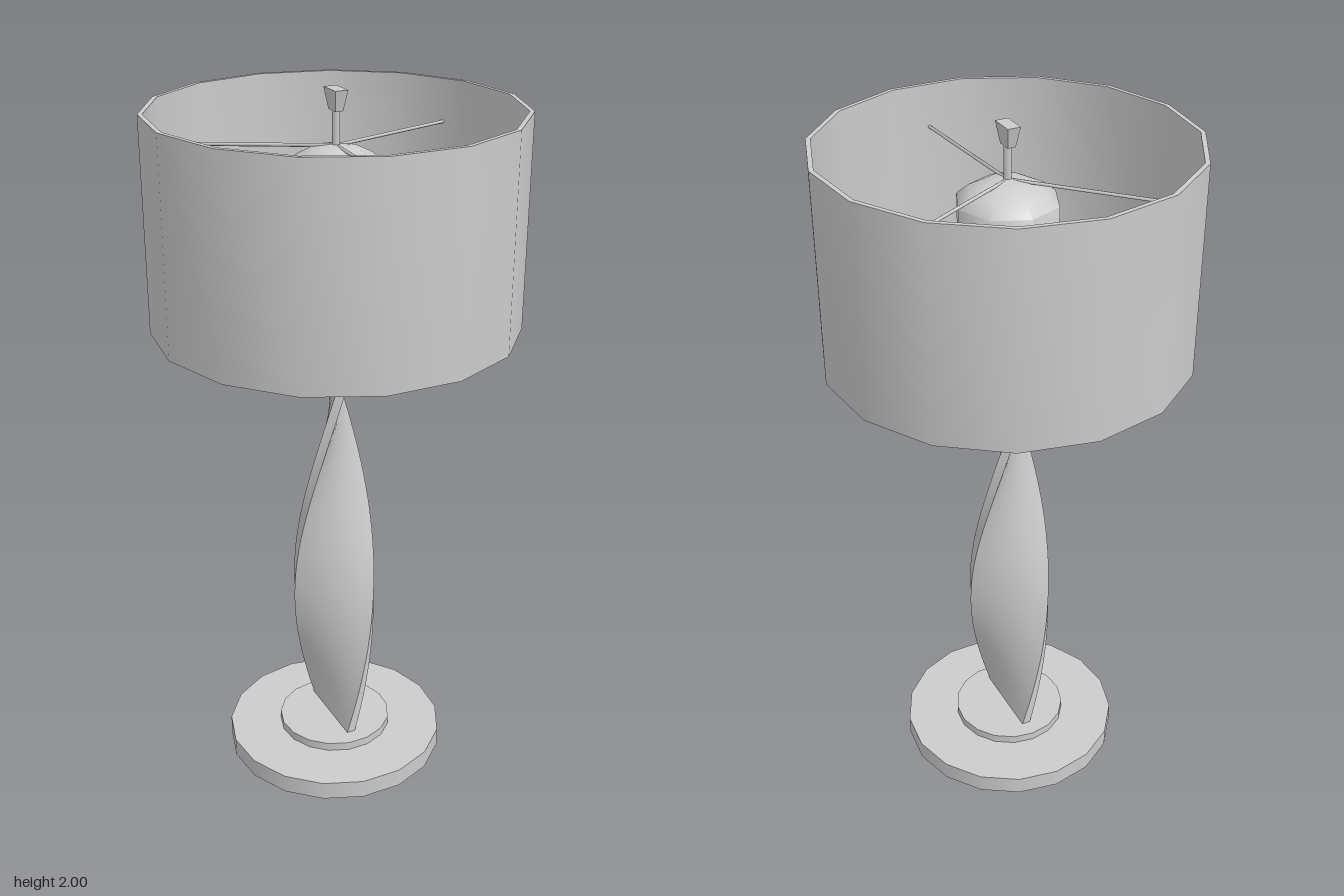
import * as THREE from 'three';
import { toCreasedNormals } from 'three/addons/utils/BufferGeometryUtils.js';

const material = new THREE.MeshStandardMaterial({ color: 0xcccccc });

export function createModel() {
  const lamp = new THREE.Group();
  lamp.name = 'tableLamp';

  const add = (name, geometry, x = 0, y = 0, z = 0) => {
    const mesh = new THREE.Mesh(geometry, material);
    mesh.name = name;
    mesh.position.set(x, y, z);
    lamp.add(mesh);
    return mesh;
  };

  // Faceted drum standing on y0, with one corner facing the back
  const drum = (name, r, y0, y1, sides, x = 0) =>
    add(name, new THREE.CylinderGeometry(r, r, y1 - y0, sides, 1, false, Math.PI), x, (y0 + y1) / 2);

  // Straight round bar between two points
  const bar = (name, a, b, r, sides = 8) => {
    const dir = b.clone().sub(a);
    const mesh = add(name, new THREE.CylinderGeometry(r, r, dir.length(), sides));
    mesh.position.copy(a).add(b).multiplyScalar(0.5);
    mesh.quaternion.setFromUnitVectors(new THREE.Vector3(0, 1, 0), dir.normalize());
  };

  const lathe = (profile, sides, crease) =>
    toCreasedNormals(
      new THREE.LatheGeometry(profile.map(p => new THREE.Vector2(...p)), sides, Math.PI),
      crease
    );

  // Stepped base
  drum('base', 0.322, 0, 0.055, 17, -0.005);
  drum('basePlinth', 0.167, 0.055, 0.08, 17, -0.005);

  // Flat blade making a half turn from bottom to top
  const bottom = 0.08, height = 1.25;
  const blade = new THREE.BoxGeometry(0.026, height, 0.235, 1, 32, 6);
  const pos = blade.attributes.position;
  const v = new THREE.Vector3();
  const up = new THREE.Vector3(0, 1, 0);
  for (let i = 0; i < pos.count; i++) {
    v.fromBufferAttribute(pos, i);
    v.applyAxisAngle(up, Math.PI * (v.y / height + 0.5));
    pos.setXYZ(i, v.x, v.y, v.z);
  }
  add('twistedColumn', toCreasedNormals(blade, 0.6), -0.006, bottom + height / 2);

  // Small switch near the top of the column
  const knob = add('switch', new THREE.CylinderGeometry(0.02, 0.02, 0.03, 10), 0.0, 1.27, 0.004);
  knob.rotation.z = Math.PI / 2;
  knob.scale.set(0.45, 1, 1);

  // Stem
  bar('stem', new THREE.Vector3(0, 1.3, 0), new THREE.Vector3(0, 1.96, 0), 0.011);

  // Bulb housing with a shallow dome
  add('bulb', lathe([
    [0, 1.54], [0.138, 1.54], [0.138, 1.8], [0.105, 1.828], [0.06, 1.85], [0, 1.86],
  ], 8, 0.85));

  // Hollow shade
  add('shade', lathe([
    [0.49, 1.365], [0.503, 1.365], [0.503, 1.95], [0.49, 1.95], [0.49, 1.365],
  ], 15, 0.6));

  // Three spokes holding the shade
  for (const [x, z] of [[0, 0.487], [0.437, -0.207], [-0.377, -0.318]]) {
    bar('spoke', new THREE.Vector3(0, 1.855, 0), new THREE.Vector3(x, 1.83, z), 0.005, 6);
  }

  // Flared rectangular finial
  const finial = new THREE.CylinderGeometry(0.5, 0.3, 0.055, 4, 1, false, Math.PI / 4);
  finial.scale(0.036 * Math.SQRT2, 1, 0.07 * Math.SQRT2);
  add('finial', toCreasedNormals(finial, 0.3), 0, 1.9725, -0.002);

  return lamp;
}
